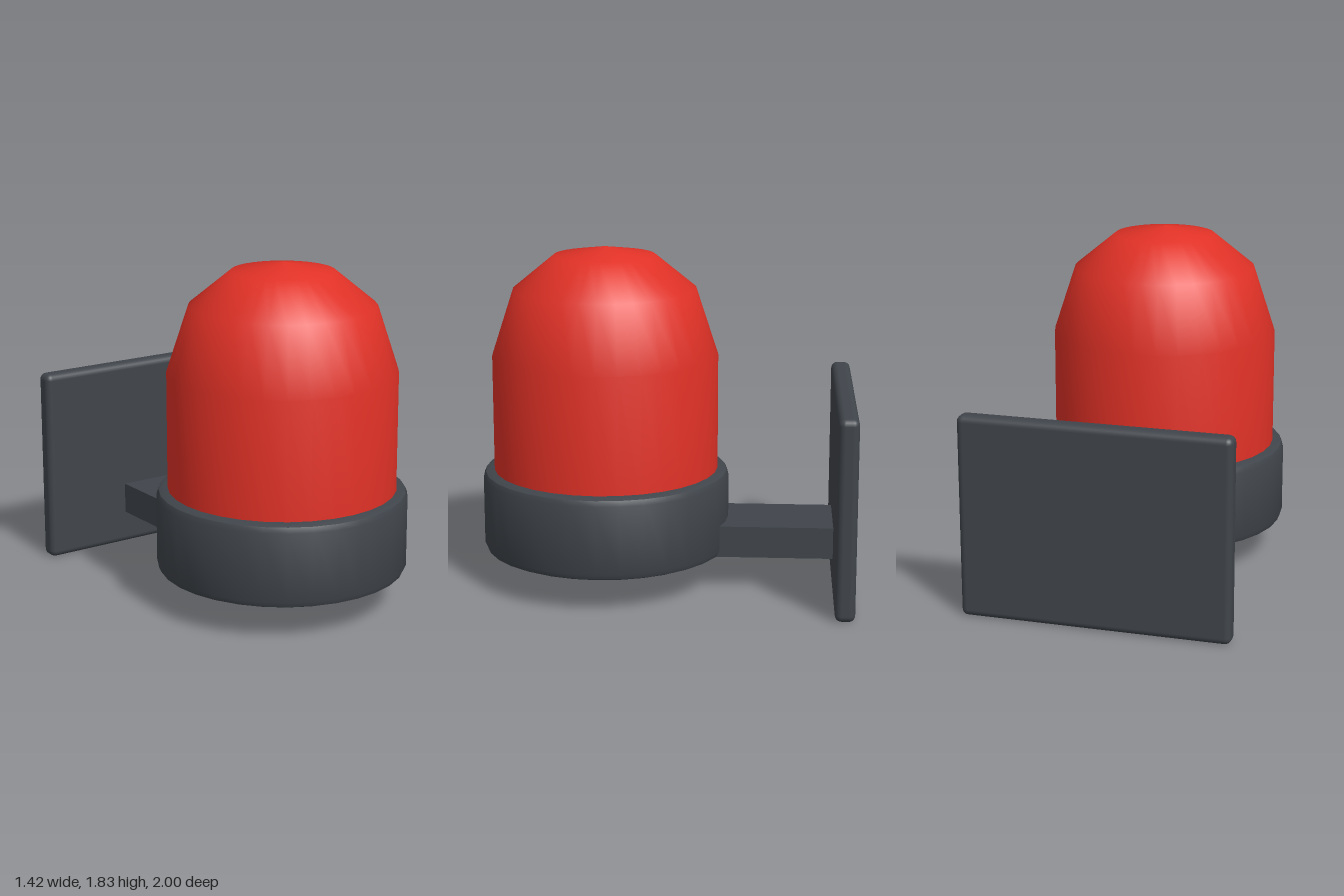
import * as THREE from 'three';
import { toCreasedNormals } from 'three/addons/utils/BufferGeometryUtils.js';
import { RoundedBoxGeometry } from 'three/addons/geometries/RoundedBoxGeometry.js';

const LAMP_Z = 0.335;

export function createModel() {
  const model = new THREE.Group();
  model.name = 'wallBeacon';

  const redLens = new THREE.MeshStandardMaterial({ color: 0xe03126 });
  redLens.name = 'redLens';
  const darkGrey = new THREE.MeshStandardMaterial({ color: 0x40454b });
  darkGrey.name = 'darkGrey';

  const add = (name, geometry, material, x, y, z) => {
    const mesh = new THREE.Mesh(geometry, material);
    mesh.name = name;
    mesh.position.set(x, y, z);
    model.add(mesh);
  };
  const lathe = (points) =>
    new THREE.LatheGeometry(points.map(([r, y]) => new THREE.Vector2(r, y)), 32);

  // Red lens: straight wall with a coarse, smoothly shaded dome
  add('lens', lathe([
    [0.605, 0.58], [0.605, 1.25], [0.49, 1.6], [0.27, 1.78], [0, 1.825],
  ]), redLens, 0, 0, LAMP_Z);

  // Round base with softened rims
  const base = lathe([
    [0, 0.18], [0.625, 0.18], [0.653, 0.192], [0.665, 0.22],
    [0.665, 0.585], [0.653, 0.613], [0.625, 0.625], [0, 0.625],
  ]);
  add('base', toCreasedNormals(base, 0.6), darkGrey, 0, 0, LAMP_Z);

  // Arm from the base back to the wall plate
  add('arm', new THREE.BoxGeometry(0.44, 0.17, 0.85), darkGrey, 0, 0.27, -0.525);

  // Upright wall plate with rounded edges
  add('wallPlate', new RoundedBoxGeometry(1.42, 1.07, 0.105, 3, 0.035),
    darkGrey, 0, 0.535, -0.9475);

  return model;
}
